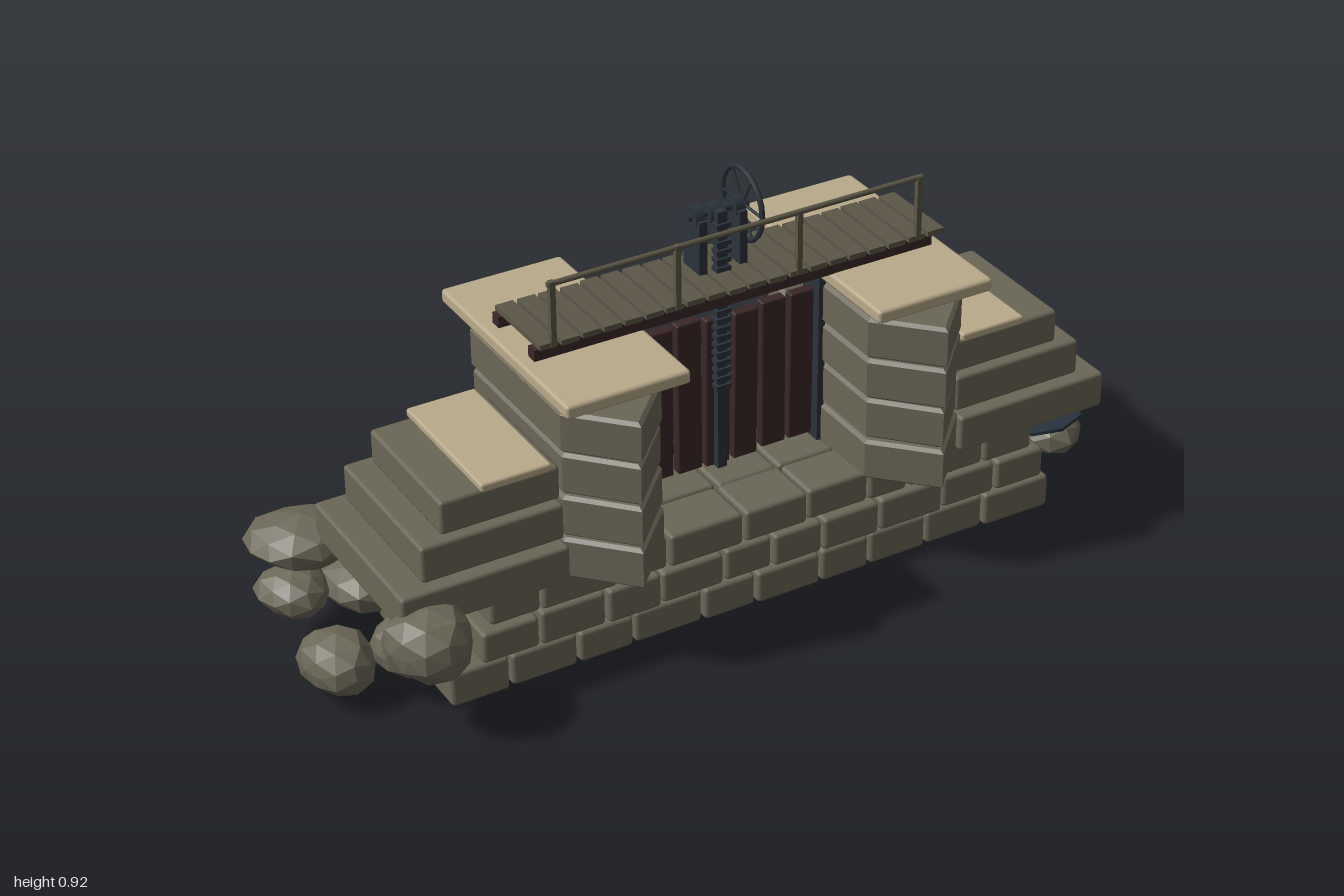
import * as THREE from 'three';
import { RoundedBoxGeometry } from 'three/addons/geometries/RoundedBoxGeometry.js';

const mat = (name, color) => Object.assign(new THREE.MeshStandardMaterial({ color }), { name });

export function createModel() {
  const stone = mat('stone', 0x6b6757);
  const sandstone = mat('sandstone', 0xb9aa8a);
  const darkWood = mat('darkWood', 0x3b2728);
  const greyWood = mat('greyWood', 0x5c5747);
  const iron = mat('iron', 0x2b333b);
  const slate = mat('wetSlate', 0x27323e);
  const reed = mat('reed', 0x4f4d38);

  const model = new THREE.Group();
  model.name = 'sluiceGate';
  const CX = -0.016; // centre line of the gate

  let seed = 11;
  const rnd = () => (seed = (seed * 16807) % 2147483647) / 2147483647;
  const jit = (a) => (rnd() - 0.5) * 2 * a;

  const group = (name, parent = model) => {
    const g = new THREE.Group();
    g.name = name;
    parent.add(g);
    return g;
  };
  const add = (parent, name, geo, material, x = 0, y = 0, z = 0) => {
    const m = new THREE.Mesh(geo, material);
    m.name = name;
    m.position.set(x, y, z);
    parent.add(m);
    return m;
  };
  // Box given by its limits; a bevel makes it a rounded block
  const span = (parent, name, material, [x0, x1], [y0, y1], [z0, z1], bevel = 0) => {
    const s = [x1 - x0, y1 - y0, z1 - z0];
    const geo = bevel ? new RoundedBoxGeometry(...s, 1, bevel) : new THREE.BoxGeometry(...s);
    return add(parent, name, geo, material, (x0 + x1) / 2, (y0 + y1) / 2, (z0 + z1) / 2);
  };
  // Round bar between two points
  const bar = (parent, name, material, a, b, r, sides = 6, rTop = r) => {
    const p = new THREE.Vector3(...a), d = new THREE.Vector3(...b).sub(p);
    const m = add(parent, name, new THREE.CylinderGeometry(rTop, r, d.length(), sides), material);
    m.position.copy(p).addScaledVector(d, 0.5);
    m.quaternion.setFromUnitVectors(new THREE.Vector3(0, 1, 0), d.normalize());
    return m;
  };

  // Masonry base: three courses, the top one set back at the rear
  const base = group('masonryBase');
  const courses = [
    { x0: -0.745, x1: 0.715, y: 0.005, rows: 4, n: 10 },
    { x0: -0.675, x1: 0.695, y: 0.087, rows: 4, n: 10 },
    { x0: -0.66, x1: 0.67, y: 0.169, rows: 3, n: 9 },
  ];
  for (const { x0, x1, y, rows, n } of courses) {
    for (let r = 0; r < rows; r++) {
      const z1 = 0.2 - r * 0.125 + jit(0.004), step = (x1 - x0) / n;
      let x = x0 + jit(0.01);
      for (let i = 0; i < n; i++) {
        const end = i === n - 1 ? x1 + jit(0.01) : x0 + step * (i + 1) + jit(0.025);
        span(base, 'baseBlock', stone, [x, end - 0.006], [y + jit(0.002), y + 0.076 + jit(0.003)],
          [z1 - 0.12, z1 + jit(0.004)], 0.009);
        x = end;
      }
    }
  }

  // Pier course: pointed at front and rear
  const pierCourse = (grow) => {
    const w = 0.106 + grow, s = 0.19 + grow, t = 0.302 + grow;
    const shape = new THREE.Shape([[w, -s], [w, s], [0, t], [-w, s], [-w, -s], [0, -t]]
      .map((p) => new THREE.Vector2(...p)));
    return new THREE.ExtrudeGeometry(shape, {
      depth: 0.08, bevelEnabled: true, bevelThickness: 0.007, bevelSize: 0.008, bevelSegments: 1,
    }).rotateX(-Math.PI / 2);
  };
  for (const side of [-1, 1]) {
    const pier = group(side < 0 ? 'rightPier' : 'leftPier');
    const px = CX + side * 0.358;
    for (let i = 0; i < 4; i++) {
      add(pier, 'pierCourse', pierCourse(jit(0.003)), stone, px, 0.245 + i * 0.098, 0.01);
    }
    span(pier, 'pierNeck', stone, [px - 0.09, px + 0.09], [0.6, 0.656], [-0.15, 0.15]);
    span(pier, 'pierCap', sandstone, [px - 0.139, px + 0.139], [0.654, 0.685], [-0.262, 0.28], 0.008);

    // Stepped wing wall beside the pier
    const wing = group(side < 0 ? 'rightWing' : 'leftWing');
    const steps = [
      [0.47, 0.843, 0.242, 0.326, -0.18, 0.228],
      [0.47, 0.786, 0.331, 0.414, -0.152, 0.206],
      [0.47, 0.734, 0.419, 0.496, -0.125, 0.192],
    ];
    const xs = (a, b) => (side > 0 ? [CX + a, CX + b] : [CX - b, CX - a]);
    for (const [a, b, y0, y1, z0, z1] of steps) {
      span(wing, 'wingStep', stone, xs(a, b), [y0, y1], [z0, z1], 0.008);
    }
    span(wing, 'wingCap', sandstone, xs(0.488, 0.645), [0.49, 0.51], [-0.14, 0.195], 0.006);
  }

  // Gate: planks with iron straps, running in iron guides
  const gate = group('gate');
  for (let i = 0; i < 7; i++) {
    const x = CX + (i - 3) * 0.068;
    const p = span(gate, 'gatePlank', darkWood, [x - 0.029, x + 0.029],
      [0.245 + rnd() * 0.01, 0.6 + rnd() * 0.012], [-0.012, 0.012], 0.004);
    p.rotation.z = jit(0.008);
  }
  for (const y of [0.3, 0.42, 0.55]) {
    span(gate, 'gateStrap', iron, [CX - 0.235, CX + 0.235], [y - 0.011, y + 0.011], [-0.026, -0.012]);
  }
  for (const s of [-1, 1]) {
    const x = CX + s * 0.24;
    span(gate, 'gateGuide', iron, [x - 0.008, x + 0.008], [0.24, 0.655], [-0.03, 0.033]);
  }

  // Toothed lifting rack in front of the planks
  const rack = group('liftingRack');
  span(rack, 'rackBar', iron, [CX - 0.011, CX + 0.011], [0.25, 0.86], [0.012, 0.03]);
  for (let i = 0; i < 20; i++) {
    const y = 0.45 + i * 0.02;
    span(rack, 'rackTooth', iron, [CX - 0.017, CX + 0.017], [y - 0.005, y + 0.005], [0.014, 0.036]);
  }

  // Walkway: two beams and cross slats
  const walkway = group('walkway');
  for (const z of [0.083, -0.07]) {
    span(walkway, 'walkwayBeam', darkWood, [-0.485, 0.452], [0.684, 0.71], [z - 0.013, z + 0.013]);
  }
  for (let i = 0; i < 20; i++) {
    const x = -0.456 + i * 0.048;
    const s = span(walkway, 'deckSlat', greyWood, [x - 0.02, x + 0.02], [0.71, 0.722],
      [-0.084 + jit(0.003), 0.104 + jit(0.003)]);
    s.rotation.y = jit(0.02);
  }

  // Handrail along the front edge
  const railing = group('railing');
  for (const x of [-0.445, -0.163, 0.122, 0.412]) {
    span(railing, 'railPost', greyWood, [x - 0.006, x + 0.006], [0.715, 0.858], [0.094, 0.106]);
  }
  bar(railing, 'handrail', greyWood, [-0.455, 0.852, 0.1], [0.42, 0.856, 0.1], 0.006);

  // Winch: two cheek plates, axle, pinion and handwheel
  const winch = group('winch');
  const WY = 0.842, WZ = -0.012;
  for (const x of [CX - 0.04, CX + 0.055]) {
    span(winch, 'cheekPlate', iron, [x - 0.009, x + 0.009], [0.72, 0.842], [WZ - 0.033, WZ + 0.033]);
    bar(winch, 'bearing', iron, [x - 0.011, WY, WZ], [x + 0.011, WY, WZ], 0.024, 10);
    span(winch, 'winchFoot', iron, [x - 0.009, x + 0.009], [0.684, 0.722], [-0.03, -0.01]);
  }
  bar(winch, 'axle', iron, [-0.075, WY, WZ], [0.062, WY, WZ], 0.008, 8);
  bar(winch, 'pinion', iron, [CX - 0.014, WY, WZ], [CX + 0.014, WY, WZ], 0.022, 10);
  const wheel = group('handwheel', winch);
  wheel.position.set(0.055, WY, WZ);
  add(wheel, 'wheelRim', new THREE.TorusGeometry(0.079, 0.006, 6, 20).rotateY(Math.PI / 2), iron);
  bar(wheel, 'wheelHub', iron, [-0.01, 0, 0], [0.01, 0, 0], 0.013, 8);
  for (let i = 0; i < 6; i++) {
    const a = (i * Math.PI) / 3;
    bar(wheel, 'wheelSpoke', iron, [0, 0, 0], [0, 0.079 * Math.sin(a), 0.079 * Math.cos(a)], 0.0035, 5);
  }

  // Faceted boulders at both ends: centre, then half sizes
  const boulders = group('boulders');
  const boulder = (x, y, z, rx, ry, rz) => {
    const geo = new THREE.IcosahedronGeometry(1, 1), pos = geo.attributes.position;
    const k = rnd() * 6, v = new THREE.Vector3();
    for (let i = 0; i < pos.count; i++) {
      v.fromBufferAttribute(pos, i);
      v.multiplyScalar(1 + 0.09 * Math.sin(v.x * 3.1 + k) * Math.cos(v.z * 2.7 - k) + 0.05 * Math.sin(v.y * 4 + k));
      pos.setXYZ(i, v.x * rx, v.y * ry, v.z * rz);
    }
    geo.computeVertexNormals();
    add(boulders, 'boulder', geo, stone, x, y, z);
  };
  [
    [-0.81, 0.225, 0.245, 0.095, 0.072, 0.095],
    [-0.92, 0.09, 0.035, 0.08, 0.06, 0.095],
    [-0.87, 0.215, -0.23, 0.115, 0.06, 0.1],
    [-0.92, 0.14, -0.17, 0.075, 0.055, 0.08],
    [-0.78, 0.13, -0.14, 0.09, 0.06, 0.1],
    [-0.79, 0.12, 0.1, 0.08, 0.06, 0.08],
    [0.88, 0.172, 0.0, 0.075, 0.062, 0.1],
    [0.86, 0.205, -0.12, 0.095, 0.07, 0.1],
    [0.92, 0.135, -0.2, 0.078, 0.052, 0.073],
    [0.815, 0.215, -0.275, 0.06, 0.05, 0.068],
    [0.83, 0.085, 0.025, 0.08, 0.055, 0.092],
    [0.82, 0.09, -0.11, 0.08, 0.045, 0.08],
    [0.8, 0.14, -0.24, 0.07, 0.06, 0.06],
  ].forEach((b) => boulder(...b));

  // Wet slates lying on the ledges
  const slates = group('slates');
  for (const [x, y, z, r, tilt] of [[0.77, 0.166, 0.11, 0.085, 0.06], [-0.52, 0.168, -0.235, 0.055, 0.02]]) {
    const s = add(slates, 'slate', new THREE.CylinderGeometry(r, r, 0.008, 7), slate, x, y, z);
    s.scale.z = 0.7;
    s.rotation.z = tilt;
  }

  // Reed tufts on the rear ledge
  const reeds = group('reeds');
  for (const cx of [-0.6, -0.24, -0.12, 0.04, 0.2, 0.36, 0.58]) {
    for (let i = 0; i < 4; i++) {
      const x = cx + jit(0.05), z = -0.215 + jit(0.02);
      bar(reeds, 'reed', reed, [x, 0.16, z], [x + jit(0.025), 0.235 + rnd() * 0.035, z + jit(0.02)], 0.004, 4, 0.001);
    }
  }

  return model;
}
